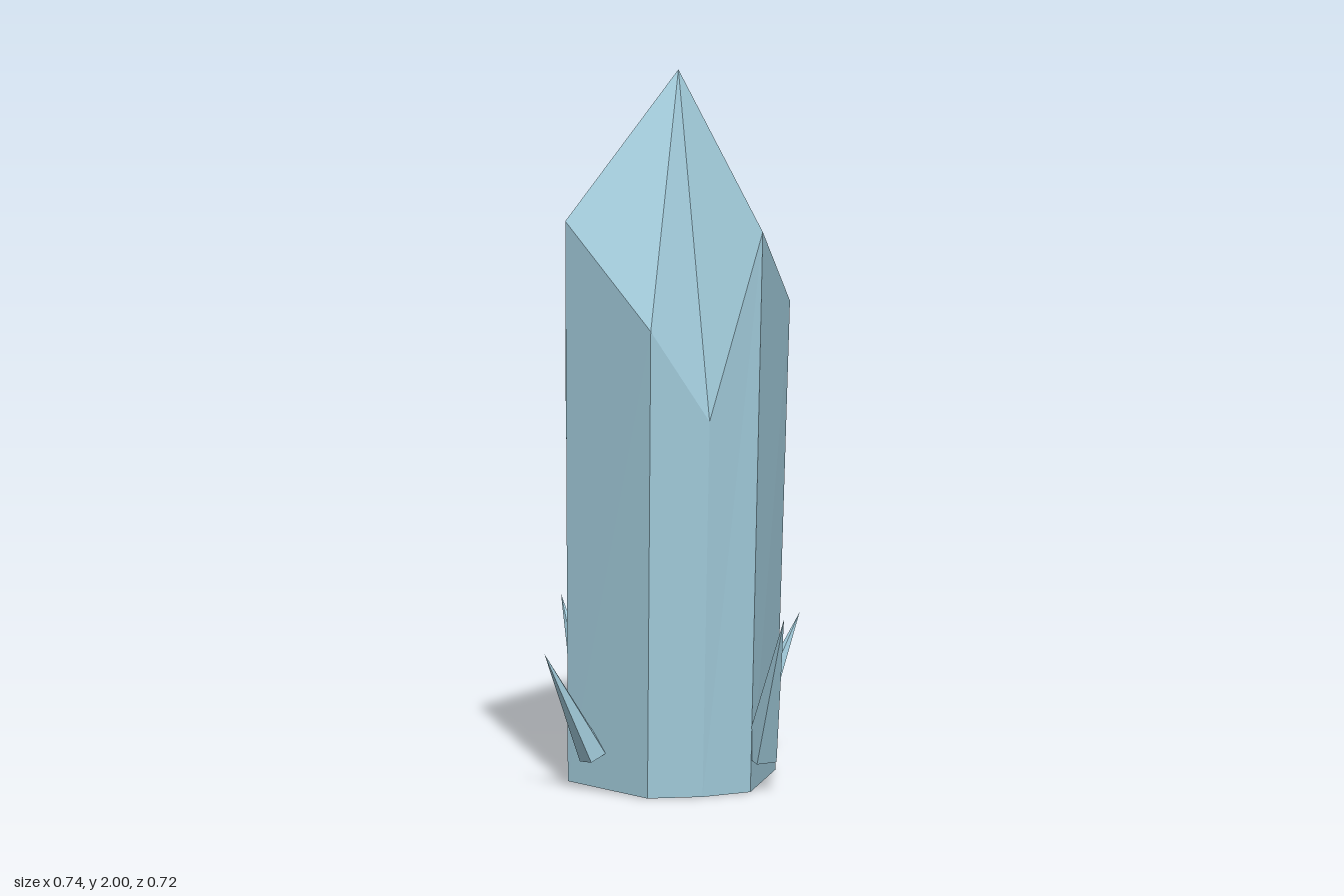
import * as THREE from 'three';

export function createModel() {
  const group = new THREE.Group();
  const crystalBlue = new THREE.MeshStandardMaterial({ color: 0xa3cddd });

  // Build a faceted mesh from a list of triangles
  const facetedMesh = (name, triangles) => {
    const geometry = new THREE.BufferGeometry().setFromPoints(triangles.flat());
    geometry.computeVertexNormals();
    const mesh = new THREE.Mesh(geometry, crystalBlue);
    mesh.name = name;
    group.add(mesh);
  };
  const vec = (p) => new THREE.Vector3(...p);

  // Main column: nine corners, shoulders step high, middle, low around the tip
  const apex = vec([0.03, 2, 0.048]);
  const shoulder = [
    [-0.258, 1.59, 0.193], [0.018, 1.32, 0.36], [0.167, 1.06, 0.281],
    [0.298, 1.58, 0.192], [0.304, 1.33, -0.142], [0.168, 1.07, -0.253],
    [0.022, 1.6, -0.301], [-0.252, 1.33, -0.133], [-0.295, 1.07, 0.012],
  ].map(vec);
  // Foot corners (x, z) lie on a slightly tilted plane
  const foot = [
    [-0.264, 0.13], [-0.006, 0.29], [0.136, 0.228],
    [0.25, 0.13], [0.257, -0.17], [0.13, -0.265],
    [-0.004, -0.329], [-0.253, -0.165], [-0.29, -0.03],
  ].map(([x, z]) => vec([x, 0.011 - 0.023 * x - 0.036 * z, z]));
  const footCentre = vec([-0.005, 0.012, -0.02]);

  const sides = [], tip = [], base = [];
  for (let i = 0; i < 9; i++) {
    const j = (i + 1) % 9;
    sides.push([foot[i], foot[j], shoulder[j]], [foot[i], shoulder[j], shoulder[i]]);
    tip.push([shoulder[i], shoulder[j], apex]);
    base.push([foot[j], foot[i], footCentre]);
  }
  facetedMesh('columnSides', sides);
  facetedMesh('columnTip', tip);
  facetedMesh('columnBase', base);

  // Small five-sided shards leaning out from the foot: [base centre, tip, radius]
  const up = new THREE.Vector3(0, 1, 0);
  const shards = [
    ['frontLeftShard', [0.272, 0.098, 0.09], [0.372, 0.51, 0.26], 0.05],
    ['backRightShard', [-0.25, 0.1, -0.148], [-0.372, 0.46, -0.29], 0.048],
    ['frontRightShard', [-0.178, 0.1, 0.198], [-0.29, 0.4, 0.32], 0.041],
    ['backLeftShard', [0.178, 0.11, -0.24], [0.285, 0.42, -0.361], 0.042],
  ];
  for (const [name, from, to, radius] of shards) {
    const axis = vec(to).sub(vec(from));
    const length = axis.length();
    const cone = new THREE.ConeGeometry(radius, length, 5).translate(0, length / 2, 0).toNonIndexed();
    cone.computeVertexNormals();
    const shard = new THREE.Mesh(cone, crystalBlue);
    shard.name = name;
    shard.position.set(...from);
    shard.quaternion.setFromUnitVectors(up, axis.normalize());
    group.add(shard);
  }
  return group;
}
